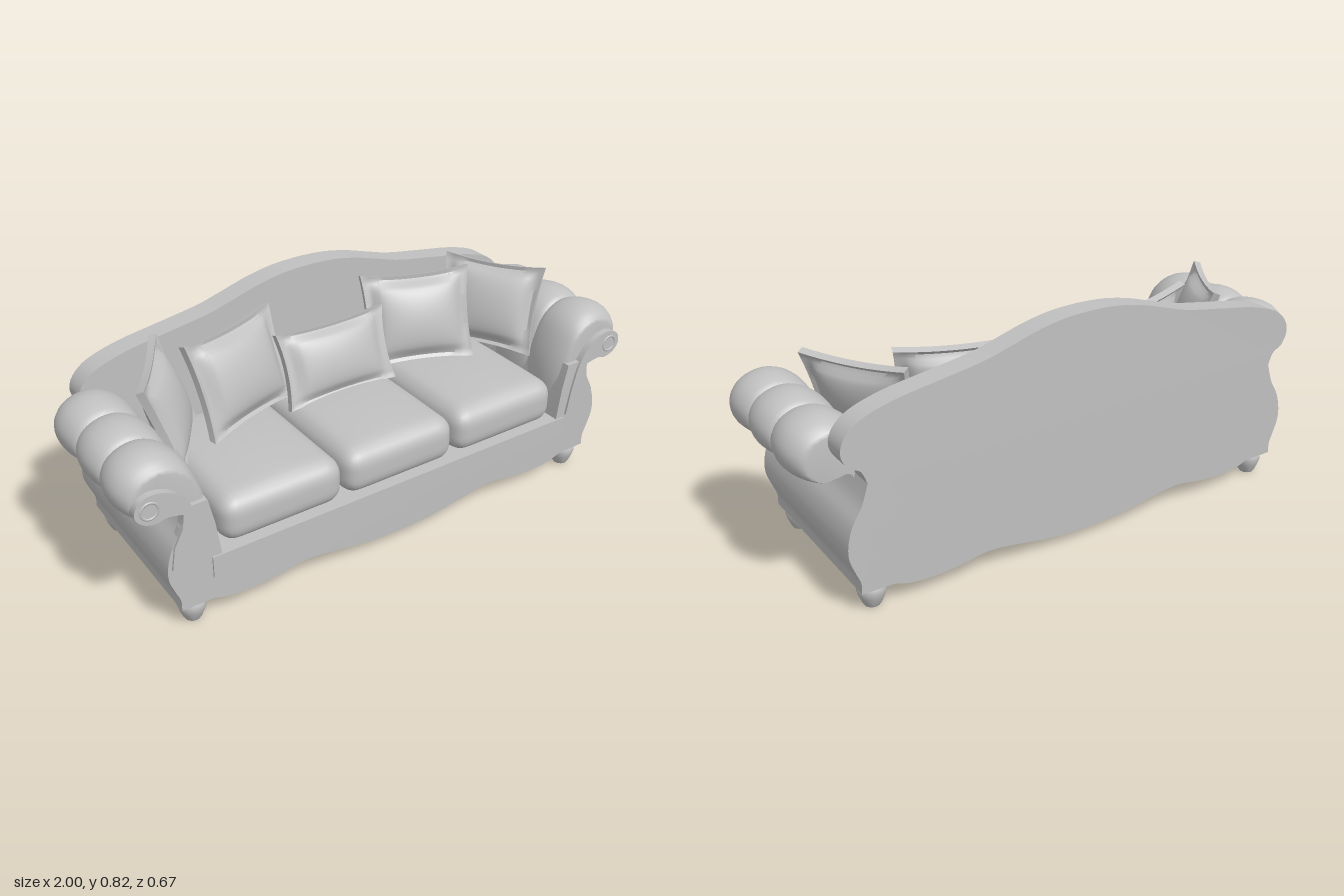
import * as THREE from 'three';
import { toCreasedNormals, mergeVertices } from 'three/addons/utils/BufferGeometryUtils.js';

const V2 = (p) => new THREE.Vector2(p[0], p[1]);
const spline = (pts, n) => new THREE.SplineCurve(pts.map(V2)).getPoints(n);
const flip = (pts) => pts.map((p) => new THREE.Vector2(-p.x, p.y));

export function createModel() {
  const group = new THREE.Group();
  const fabric = new THREE.MeshStandardMaterial({ color: 0xc0c0c0 });
  fabric.name = 'grey upholstery';

  const add = (name, geo, x = 0, y = 0, z = 0) => {
    const mesh = new THREE.Mesh(geo, fabric);
    mesh.name = name;
    mesh.position.set(x, y, z);
    group.add(mesh);
    return mesh;
  };

  // Extrudes an outline from z0 to z1, smooth along curves
  const slab = (pts, z0, z1) => {
    const geo = new THREE.ExtrudeGeometry(new THREE.Shape(pts), { depth: z1 - z0, bevelEnabled: false });
    geo.translate(0, 0, z0);
    return toCreasedNormals(geo, 0.6);
  };
  // Joins a right half outline, listed from bottom centre to top centre, with its mirror
  const symmetric = (half) => [...half, ...flip(half).reverse().filter((p) => Math.abs(p.x) > 1e-4)];

  // Base with scalloped skirt and curved sides
  const skirt = spline([[0, 0.035], [0.1, 0.038], [0.2, 0.05], [0.3, 0.067], [0.4, 0.077], [0.5, 0.062],
    [0.6, 0.056], [0.68, 0.062], [0.73, 0.078]], 40);
  const side = spline([[0.845, 0.08], [0.845, 0.12], [0.86, 0.16], [0.877, 0.21], [0.877, 0.26],
    [0.86, 0.32], [0.825, 0.38], [0.8, 0.455]], 28);
  const inner = [[0.73, 0.455], [0.71, 0.36], [0.695, 0.24], [0, 0.24]].map(V2);
  add('base', slab(symmetric([...skirt, ...side, ...inner]), -0.333, 0.328));
  add('frontRail', new THREE.BoxGeometry(1.46, 0.078, 0.012), 0, 0.201, 0.328);

  // Back with humped crest and rounded ends
  const crest = spline([[0.8, 0.44], [0.82, 0.49], [0.86, 0.515], [0.88, 0.56], [0.865, 0.61], [0.81, 0.655],
    [0.7, 0.69], [0.55, 0.715], [0.4, 0.74], [0.3, 0.768], [0.2, 0.797], [0.1, 0.815], [0, 0.82]], 60);
  add('backrest', slab(symmetric([V2([0, 0.2]), V2([0.8, 0.2]), ...crest]), -0.333, -0.25));

  // Rolled arm: one cross-section lofted along z through three padded lobes
  const armRing = new THREE.SplineCurve([[0.7, 0.27], [0.7, 0.38], [0.72, 0.48], [0.765, 0.575], [0.83, 0.622],
    [0.9, 0.628], [0.965, 0.598], [0.998, 0.54], [0.985, 0.475], [0.93, 0.437], [0.87, 0.44], [0.81, 0.44],
    [0.78, 0.35], [0.75, 0.27], [0.7, 0.27]].map(V2)).getPoints(56).slice(0, -1);
  const stops = [0.312, 0.13, -0.05, -0.25];
  const armPad = (s) => {
    const pos = [], idx = [], n = armRing.length, cx = 0.83, cy = 0.46, steps = 10;
    const ring = (k, z) => armRing.forEach((p) => pos.push(s * (cx + (p.x - cx) * k), cy + (p.y - cy) * k, z));
    const tri = (a, b, c) => (s > 0 ? idx.push(a, b, c) : idx.push(a, c, b));
    let rows = 0;
    for (let l = 0; l < 3; l++) {
      for (let i = l ? 1 : 0; i <= steps; i++, rows++) {
        const t = (1 - Math.cos((Math.PI * i) / steps)) / 2;
        const low = (l === 0 && t < 0.5) || (l === 2 && t > 0.5) ? 0.74 : 0.85;
        const k = low + (1 - low) * Math.pow(Math.max(0, Math.sin(Math.PI * t)), 0.6);
        ring(k, THREE.MathUtils.lerp(stops[l], stops[l + 1], t));
      }
    }
    for (let r = 0; r < rows - 1; r++) {
      for (let i = 0; i < n; i++) {
        const a = r * n + i, b = r * n + ((i + 1) % n);
        tri(a, b, a + n);
        tri(b, b + n, a + n);
      }
    }
    // End caps follow the curved section, which is not convex
    const faces = THREE.ShapeUtils.triangulateShape(armRing, []);
    const cw = THREE.ShapeUtils.isClockWise(armRing), last = (rows - 1) * n;
    const ccw = (a, b, c) => {
      const [p, q, w] = [armRing[a], armRing[b], armRing[c]];
      return (q.x - p.x) * (w.y - p.y) - (q.y - p.y) * (w.x - p.x) > 0;
    };
    for (const f of faces) {
      const [a, b, c] = ccw(...f) ? f : [f[0], f[2], f[1]];
      tri(a, b, c);
      tri(last + a, last + c, last + b);
    }
    if (!cw) for (let i = 0; i < (rows - 1) * n * 6; i += 3) [idx[i + 1], idx[i + 2]] = [idx[i + 2], idx[i + 1]];
    const geo = new THREE.BufferGeometry();
    geo.setAttribute('position', new THREE.Float32BufferAttribute(pos, 3));
    geo.setIndex(idx);
    return toCreasedNormals(geo, 0.9);
  };

  // Scrolled front panel of the arm
  const panel = [...spline([[0.735, 0.25], [0.755, 0.36], [0.785, 0.46], [0.835, 0.523], [0.9, 0.546], [0.95, 0.53],
    [0.966, 0.49], [0.945, 0.457], [0.905, 0.443], [0.865, 0.45], [0.815, 0.44]], 48),
  ...[[0.82, 0.39], [0.852, 0.33], [0.865, 0.25]].map(V2)];

  // Bun foot
  const footProfile = [[0, 0], [0.026, 0], [0.032, 0.01], [0.042, 0.035], [0.048, 0.055], [0.046, 0.07], [0.038, 0.085], [0, 0.085]].map(V2);

  for (const s of [1, -1]) {
    const label = s > 0 ? 'left' : 'right';
    add(label + 'ArmPad', armPad(s));
    add(label + 'ArmPanel', slab(s > 0 ? panel : flip(panel), 0.3, 0.336));
    add(label + 'ArmScroll', new THREE.TorusGeometry(0.028, 0.005, 8, 24), s * 0.918, 0.494, 0.334);
    for (const z of [0.28, -0.28]) {
      add(label + (z > 0 ? 'FrontFoot' : 'BackFoot'), toCreasedNormals(new THREE.LatheGeometry(footProfile, 20), 0.8), s * 0.79, 0, z);
    }
  }

  // Seat cushion: subdivided box with rounded edges and a crowned top
  const seatCushion = (w, h, d, r) => {
    let geo = new THREE.BoxGeometry(w, h, d, 20, 10, 20);
    geo.deleteAttribute('uv');
    geo.deleteAttribute('normal');
    geo = mergeVertices(geo);
    const p = geo.attributes.position, v = new THREE.Vector3(), core = new THREE.Vector3();
    const lim = new THREE.Vector3(w / 2 - r, h / 2 - r, d / 2 - r);
    for (let i = 0; i < p.count; i++) {
      v.fromBufferAttribute(p, i);
      const u = (2 * v.x) / w, q = (2 * v.z) / d;
      core.copy(v).clamp(lim.clone().negate(), lim);
      v.sub(core).normalize().multiplyScalar(r).add(core);
      if (v.y > 0) v.y += 0.018 * (1 - u * u) * (1 - q * q);
      p.setXYZ(i, v.x, v.y, v.z);
    }
    geo.computeVertexNormals();
    return geo;
  };
  [-0.455, 0, 0.455].forEach((x) => add('seatCushion', seatCushion(0.45, 0.165, 0.57, 0.06), x, 0.322, 0.04));

  // Throw pillow: puffed centre, flat flange with raised rim, pointed corners
  const pillow = (w, h, puff) => {
    let geo = new THREE.BoxGeometry(2, 2, 2, 24, 24, 1);
    geo.deleteAttribute('uv');
    geo.deleteAttribute('normal');
    geo = mergeVertices(geo);
    const p = geo.attributes.position;
    for (let i = 0; i < p.count; i++) {
      const u = p.getX(i), v = p.getY(i), m = Math.max(Math.abs(u), Math.abs(v));
      const a = Math.max(0, 1 - (u / 0.84) ** 2), b = Math.max(0, 1 - (v / 0.84) ** 2);
      const t = (m > 0.95 ? 0.013 : 0.008) + puff * Math.pow(a * b, 0.42);
      p.setXYZ(i, (u * w / 2) * (1 - 0.07 * (1 - v * v)), (v * h / 2) * (1 - 0.09 * (1 - u * u)), Math.sign(p.getZ(i)) * t);
    }
    return toCreasedNormals(geo, 0.8);
  };
  const placePillow = (name, geo, x, y, z, yaw, tilt) => {
    add(name, geo, x, y, z).rotation.set(-tilt, yaw, 0, 'YXZ');
  };
  placePillow('centrePillow', pillow(0.44, 0.27, 0.045), 0, 0.528, -0.085, 0, 0.35);
  for (const s of [1, -1]) {
    placePillow('backPillow', pillow(0.41, 0.34, 0.055), s * 0.37, 0.575, -0.105, -s * 0.33, 0.33);
    placePillow('cornerPillow', pillow(0.38, 0.33, 0.05), s * 0.665, 0.572, -0.05, -s * 1.03, 0.33);
  }
  return group;
}
